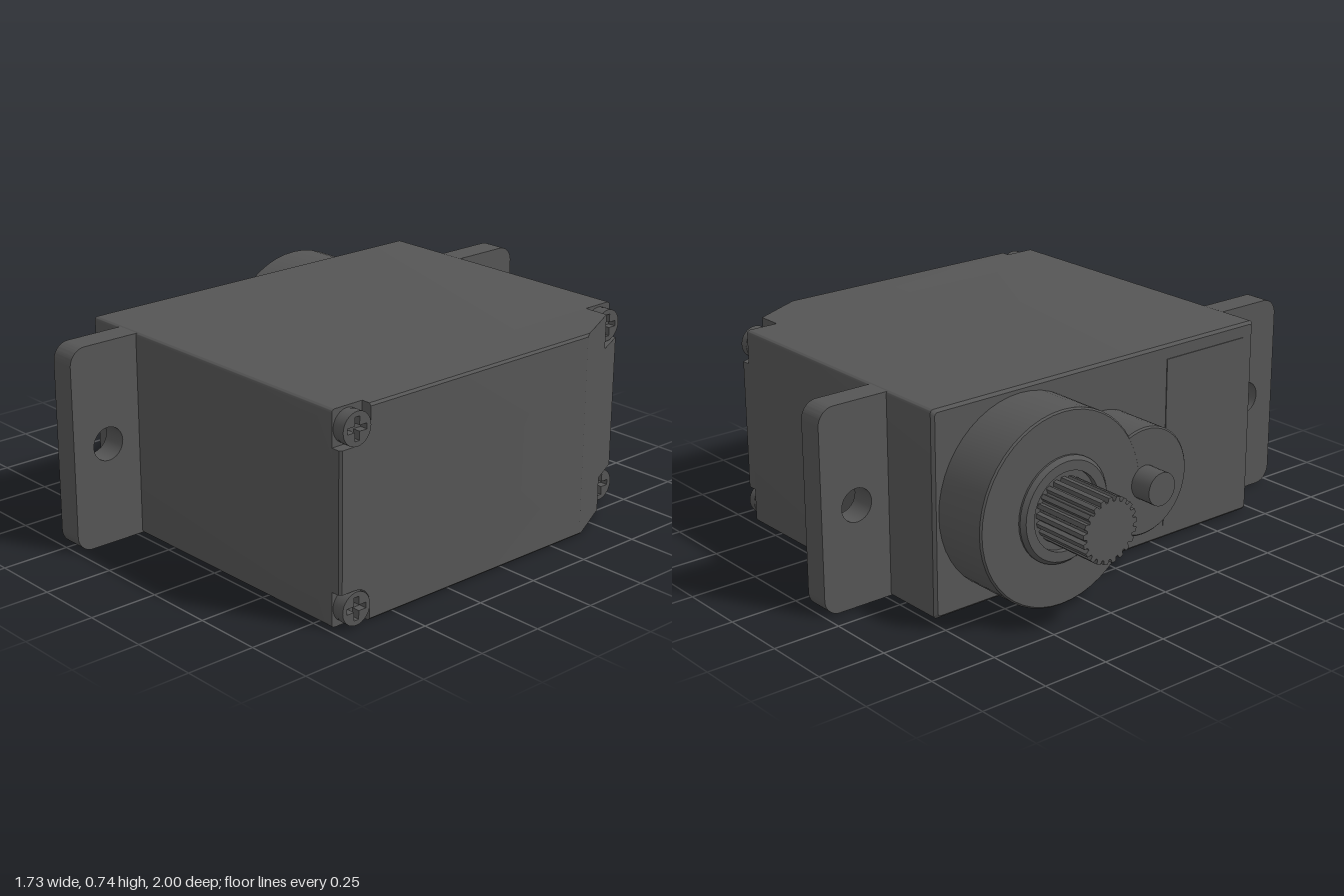
import * as THREE from 'three';
import { toCreasedNormals } from 'three/addons/utils/BufferGeometryUtils.js';

const MID = 0.3675, HALF_Y = 0.3675, HALF_Z = 0.73;
const material = new THREE.MeshStandardMaterial({ color: 0x555555 });

function part(name, geometry, x = 0, y = 0, z = 0) {
  const mesh = new THREE.Mesh(toCreasedNormals(geometry, 0.6), material);
  mesh.name = name;
  mesh.position.set(x, y, z);
  return mesh;
}

// Extrude a shape along +x (shape x becomes -z, shape y stays y)
function extrudeX(shape, depth, bevel = 0) {
  const g = new THREE.ExtrudeGeometry(shape, {
    depth: depth - 2 * bevel, bevelEnabled: bevel > 0, bevelSize: bevel,
    bevelThickness: bevel, bevelOffset: -bevel, bevelSegments: 1, curveSegments: 16,
  });
  return g.translate(0, 0, bevel).rotateY(Math.PI / 2);
}

// Lathe a [radius, height] profile, axis pointing towards -x
function latheX(profile, segments) {
  const pts = profile.map(([r, h]) => new THREE.Vector2(r, h));
  return new THREE.LatheGeometry(pts, segments).rotateZ(Math.PI / 2);
}

// One body cross-section: a rectangle whose corners are rounded or notched for screws
function section({ x, inset = 0, back = -HALF_Z, notchFront, notchBack }) {
  const loop = [];
  for (const [sy, sz] of [[1, 1], [-1, 1], [-1, -1], [1, -1]]) {
    const corner = [];
    const notched = sz > 0 ? notchFront : notchBack;
    const n = 0.125 - inset, r = 0.06, round = 0.012;
    for (let i = 0; i < 7; i++) {
      const t = (i / 6) * Math.PI / 2, u = ((i - 1) / 4) * Math.PI / 2;
      let a = round * (1 - Math.cos(t)), b = round * (1 - Math.sin(t));
      if (notched) {
        a = i === 0 ? 0 : i === 6 ? n : n - r + r * Math.sin(u);
        b = i === 0 ? n : i === 6 ? 0 : n - r + r * Math.cos(u);
      }
      corner.push(new THREE.Vector3(
        x, MID + sy * (HALF_Y - inset - a), Math.max(sz * (HALF_Z - inset - b), back)));
    }
    loop.push(...(sy * sz > 0 ? corner : corner.reverse()));
  }
  return loop;
}

// Skin the sections and close both ends
function loft(sections) {
  const out = [];
  const tri = (a, b, c) => {
    if (new THREE.Triangle(a, b, c).getArea() > 1e-8) out.push(a, b, c);
  };
  const count = sections[0].length, last = sections.length - 1;
  const centre = (s) => new THREE.Vector3(s[0].x, MID, 0.1);
  for (let j = 0; j < count; j++) {
    const k = (j + 1) % count;
    for (let i = 0; i < last; i++) {
      const p = sections[i], q = sections[i + 1];
      tri(p[j], p[k], q[k]);
      tri(p[j], q[k], q[j]);
    }
    tri(centre(sections[0]), sections[0][k], sections[0][j]);
    tri(centre(sections[last]), sections[last][j], sections[last][k]);
  }
  return new THREE.BufferGeometry().setFromPoints(out);
}

function buildBody() {
  const notchBack = true, notchFront = true;
  return part('body', loft([
    { x: -0.42, inset: 0.01 },
    { x: -0.41 },
    { x: 0.655 },
    { x: 0.655, notchBack },
    { x: 0.69, notchBack },
    { x: 0.749, notchBack, back: -0.605 },
    { x: 0.815, notchBack, back: -0.472 },
    { x: 0.815, notchBack, notchFront, back: -0.472 },
    { x: 0.847, notchBack, notchFront, back: -0.406 },
    { x: 0.855, notchBack, notchFront, back: -0.39, inset: 0.008 },
  ].map(section)));
}

// Mounting tab with rounded outer corners and a screw hole
function buildTab(side) {
  const r = 0.06, lo = 0.002, hi = 0.733, inner = 0.7, s = new THREE.Shape();
  s.moveTo(inner, lo);
  s.lineTo(1 - r, lo);
  s.absarc(1 - r, lo + r, r, -Math.PI / 2, 0, false);
  s.absarc(1 - r, hi - r, r, 0, Math.PI / 2, false);
  s.lineTo(inner, hi);
  s.holes.push(new THREE.Path().absarc(0.86, MID, 0.06, 0, Math.PI * 2, true));
  const g = extrudeX(s, 0.095);
  if (side > 0) g.translate(0.08, 0, 0).rotateY(Math.PI).translate(-0.095, 0, 0);
  else g.translate(-0.175, 0, 0);
  return part(side > 0 ? 'frontTab' : 'backTab', g);
}

// Screw head with a cross-shaped recess
function buildScrew(x, y, z) {
  const screw = new THREE.Group();
  screw.name = 'screw';
  const head = new THREE.Shape().absarc(0, 0, 0.058, 0, Math.PI * 2, false);
  const w = 0.01, l = 0.04;
  const cross = [];
  for (let i = 0; i < 4; i++) {
    for (const [u, v] of [[l, -w], [l, w], [w, w]]) {
      cross.push(new THREE.Vector2(u, v).rotateAround(new THREE.Vector2(), i * Math.PI / 2));
    }
  }
  head.holes.push(new THREE.Path(cross));
  const base = new THREE.CylinderGeometry(0.057, 0.057, 0.02, 24).rotateZ(Math.PI / 2);
  screw.add(part('screwHead', extrudeX(head, 0.03), 0.017), part('screwBase', base, 0.008));
  screw.position.set(x, y, z);
  return screw;
}

// Toothed output shaft
function buildShaft() {
  const teeth = 21, s = new THREE.Shape();
  for (let i = 0; i < teeth; i++) {
    [[0, 0.115], [0.45, 0.115], [0.6, 0.1], [0.85, 0.1]].forEach(([f, r], k) => {
      const a = ((i + f) / teeth) * Math.PI * 2;
      s[i + k === 0 ? 'moveTo' : 'lineTo'](r * Math.cos(a), r * Math.sin(a));
    });
  }
  return part('outputShaft', extrudeX(s, 0.245), -0.865, MID, -0.365);
}

export function createModel() {
  const model = new THREE.Group();
  model.name = 'servoMotor';
  model.add(buildBody(), buildTab(1), buildTab(-1));

  // Corner screws
  for (const y of [0.065, 0.67]) {
    model.add(buildScrew(0.815, y, 0.668), buildScrew(0.655, y, -0.668));
  }

  // Gear housing: large drum and smaller one beside it
  const drum = (r, h) => latheX([[r, 0], [r, h - 0.006], [r - 0.006, h], [0, h]], 48);
  model.add(part('gearDrum', drum(0.345, 0.22), -0.415, MID, -0.365));
  model.add(part('idlerDrum', drum(0.195, 0.219), -0.415, MID, 0));
  model.add(part('idlerPin', latheX([[0.06, 0], [0.06, 0.1], [0, 0.1]], 24), -0.62, MID, 0));

  // Collar ring around the shaft
  const collar = [[0.188, 0], [0.188, 0.01], [0.175, 0.025], [0.14, 0.025], [0.14, 0]];
  model.add(part('shaftCollar', latheX(collar, 40), -0.632, MID, -0.365));
  model.add(buildShaft());

  // Thin cover panel on the shaft side
  model.add(part('coverPanel', new THREE.BoxGeometry(0.01, 0.63, 0.38), -0.418, MID, 0.49));
  return model;
}
